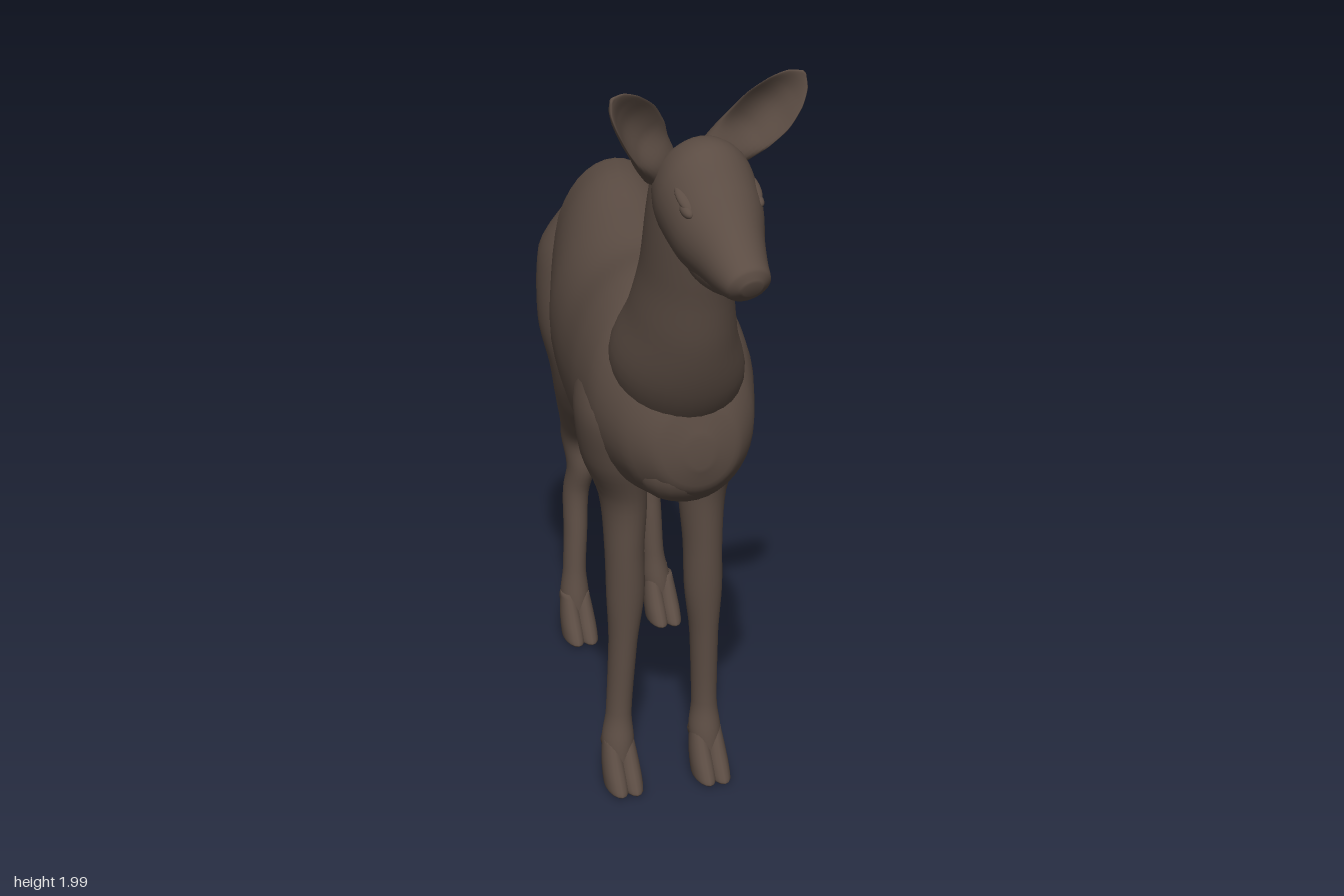
import * as THREE from 'three';

const V = (x, y, z) => new THREE.Vector3(x, y, z);
const coat = new THREE.MeshStandardMaterial({ color: 0x5b4c43 });
coat.name = 'brown coat';

// Smooth closed loft: rows are [x, y, z, halfWidth, halfDepth, cup]; side and up span every section
function loft(rows, side, up, radial = 28, steps = 5) {
  const centre = new THREE.CatmullRomCurve3(rows.map(r => V(r[0], r[1], r[2])));
  const size = new THREE.CatmullRomCurve3(rows.map(r => V(r[3], r[4], r[5] || 0)));
  const n = (rows.length - 1) * steps;
  const pos = [], idx = [];
  const s = side.clone().normalize(), u = up.clone().normalize();
  for (let i = 0; i <= n; i++) {
    const c = centre.getPoint(i / n), r = size.getPoint(i / n);
    for (let j = 0; j < radial; j++) {
      const t = j / radial * Math.PI * 2, k = Math.cos(t);
      const p = c.clone().addScaledVector(s, r.x * k)
        .addScaledVector(u, r.y * Math.sin(t) + r.z * (k * k - 0.4));
      pos.push(p.x, p.y, p.z);
    }
  }
  const first = centre.getPoint(0), last = centre.getPoint(1);
  pos.push(first.x, first.y, first.z, last.x, last.y, last.z);
  const flip = s.clone().cross(u).dot(last.clone().sub(first)) < 0;
  const tri = (a, b, c) => flip ? idx.push(a, c, b) : idx.push(a, b, c);
  const a0 = (n + 1) * radial;
  for (let j = 0; j < radial; j++) {
    const k = (j + 1) % radial;
    for (let i = 0; i < n; i++) {
      const a = i * radial + j, b = i * radial + k;
      tri(a, b, a + radial);
      tri(b, b + radial, a + radial);
    }
    tri(a0, k, j);
    tri(a0 + 1, n * radial + j, n * radial + k);
  }
  const g = new THREE.BufferGeometry();
  g.setAttribute('position', new THREE.Float32BufferAttribute(pos, 3));
  g.setIndex(idx);
  g.computeVertexNormals();
  return g;
}

export function createModel() {
  const model = new THREE.Group();
  model.name = 'deer';
  const add = (name, geometry, parent = model) => {
    const m = new THREE.Mesh(geometry, coat);
    m.name = name;
    parent.add(m);
  };
  const bump = (name, p, scale, tilt = 0) => {
    const g = new THREE.SphereGeometry(1, 20, 14);
    g.scale(...scale).rotateX(tilt).translate(...p);
    add(name, g);
  };

  // Torso, set at a slant across the z axis
  const bodySide = V(0.965, 0, 0.26);
  add('torso', loft([
    [0.225, 1.17, -0.765, 0.03, 0.05], [0.22, 1.175, -0.74, 0.08, 0.115],
    [0.2, 1.172, -0.66, 0.135, 0.188], [0.17, 1.16, -0.55, 0.172, 0.277],
    [0.112, 1.14, -0.4, 0.187, 0.307], [0.05, 1.122, -0.2, 0.216, 0.298],
    [-0.003, 1.107, 0, 0.224, 0.293], [-0.045, 1.115, 0.15, 0.22, 0.295],
    [-0.072, 1.11, 0.28, 0.205, 0.272], [-0.08, 1.06, 0.38, 0.165, 0.2],
    [-0.085, 1.03, 0.44, 0.105, 0.115], [-0.085, 1.02, 0.46, 0.03, 0.04],
  ], bodySide, V(0, 1, 0), 40));

  // Neck
  add('neck', loft([
    [-0.065, 1.06, 0.24, 0.12, 0.13], [-0.085, 1.22, 0.325, 0.16, 0.165],
    [-0.11, 1.36, 0.405, 0.125, 0.143], [-0.123, 1.5, 0.455, 0.106, 0.122],
    [-0.13, 1.64, 0.495, 0.106, 0.112], [-0.135, 1.76, 0.525, 0.1, 0.09],
    [-0.135, 1.82, 0.54, 0.04, 0.035],
  ], V(1, 0, 0.15), V(0, -0.4, 0.9), 32));

  // Head, from the back of the skull to the nose
  add('head', loft([
    [-0.132, 1.75, 0.44, 0.045, 0.05], [-0.133, 1.75, 0.49, 0.1, 0.118],
    [-0.135, 1.724, 0.56, 0.12, 0.14], [-0.138, 1.666, 0.645, 0.112, 0.122],
    [-0.145, 1.628, 0.72, 0.084, 0.092], [-0.152, 1.602, 0.785, 0.066, 0.065],
    [-0.155, 1.592, 0.825, 0.055, 0.048], [-0.155, 1.588, 0.843, 0.025, 0.02],
  ], V(1, 0, 0), V(0, 0.9, 0.4), 32));
  bump('nosePad', [-0.155, 1.612, 0.818], [0.045, 0.027, 0.028], 0.3);
  bump('jaw', [-0.142, 1.592, 0.68], [0.075, 0.062, 0.15], 0.02);
  for (const m of [-1, 1]) {
    bump('nostril', [-0.155 + m * 0.032, 1.61, 0.82], [0.017, 0.02, 0.02]);
    bump('eye', [-0.139 + m * 0.09, 1.728, 0.66], [0.014, 0.014, 0.026], 0.3);
    bump('brow', [-0.137 + m * 0.082, 1.752, 0.638], [0.024, 0.014, 0.05], 0.6);

    // Cupped ear, opening forward
    const along = [[0, 0.05, 0.045, 0], [0.2, 0.058, 0.036, 0.015], [0.4, 0.065, 0.02, 0.045],
      [0.6, 0.066, 0.012, 0.05], [0.8, 0.053, 0.01, 0.035], [0.93, 0.032, 0.008, 0.012],
      [1, 0.006, 0.004, 0]];
    add(m > 0 ? 'leftEar' : 'rightEar', loft(along.map(([t, a, b, c]) =>
      [-0.135 + m * (0.07 + 0.175 * t), 1.775 + 0.215 * t, 0.475 + 0.11 * t, a, b, c]),
    V(-0.62 * m, 0.64, -0.3), V(-0.49 * m, -0.07, 0.87)));
  }

  // Tail, running on from the slope of the rump
  add('tail', loft([
    [0.195, 1.27, -0.6, 0.06, 0.06], [0.22, 1.255, -0.69, 0.065, 0.062],
    [0.245, 1.215, -0.765, 0.056, 0.05], [0.26, 1.165, -0.805, 0.05, 0.04],
    [0.267, 1.115, -0.82, 0.038, 0.028], [0.268, 1.09, -0.822, 0.014, 0.012],
  ], bodySide, V(0.15, 0.65, -0.62), 20));

  // Legs: rows are [y, z, halfWidth, halfDepth] with one x per row; claws finish the foot
  const legSide = V(0.98, 0, 0.17).normalize(), legFront = V(-0.17, 0, 0.98).normalize();
  function leg(name, rows, xs, dz, foot) {
    const g = new THREE.Group();
    g.name = name;
    model.add(g);
    add('limb', loft(rows.map(([y, z, a, b], i) => [xs[i], y, z + dz, a, b]),
      legSide, legFront, 24), g);
    const at = (s, y, f) => foot.clone().addScaledVector(legSide, s)
      .addScaledVector(legFront, f).setY(y);
    for (const m of [-1, 1]) {
      add('hoof', loft([[0.13, 0, 0.02, 0.03], [0.075, 0.02, 0.027, 0.048],
        [0.035, 0.042, 0.029, 0.06], [0.012, 0.054, 0.028, 0.065], [0.004, 0.054, 0.02, 0.055]]
        .map(([y, f, a, b]) => [...at(m * 0.02, y, f).toArray(), a, b]), legSide, legFront, 16), g);
      add('dewclaw', loft([[0.15, -0.015, 0.012, 0.015], [0.1, -0.042, 0.014, 0.017],
        [0.07, -0.054, 0.005, 0.006]].map(([y, f, a, b]) =>
        [...at(m * 0.02, y, f).toArray(), a, b]), legSide, legFront, 12), g);
    }
  }

  const fore = [
    [1.27, 0.17, 0.02, 0.03], [1.18, 0.18, 0.055, 0.09], [1.05, 0.2, 0.078, 0.12],
    [0.92, 0.19, 0.076, 0.11], [0.8, 0.185, 0.06, 0.082], [0.65, 0.2, 0.05, 0.06],
    [0.53, 0.205, 0.049, 0.052], [0.4, 0.205, 0.037, 0.045], [0.2, 0.205, 0.033, 0.04],
    [0.12, 0.215, 0.042, 0.047], [0.05, 0.235, 0.03, 0.035],
  ];
  leg('frontLeftLeg', fore,
    [0.08, 0.09, 0.088, 0.075, 0.055, 0.05, 0.05, 0.053, 0.055, 0.052, 0.05],
    0.01, V(0.053, 0, 0.225));
  leg('frontRightLeg', fore,
    [-0.18, -0.195, -0.2, -0.18, -0.147, -0.15, -0.15, -0.157, -0.17, -0.178, -0.185],
    -0.035, V(-0.178, 0, 0.18));

  const hind = [
    [1.33, -0.57, 0.03, 0.05], [1.18, -0.59, 0.083, 0.13], [1.0, -0.555, 0.086, 0.148],
    [0.87, -0.53, 0.07, 0.115], [0.75, -0.575, 0.055, 0.08], [0.65, -0.645, 0.047, 0.078],
    [0.58, -0.685, 0.045, 0.066], [0.5, -0.67, 0.04, 0.052], [0.42, -0.685, 0.036, 0.048],
    [0.3, -0.665, 0.033, 0.042], [0.2, -0.65, 0.032, 0.04], [0.12, -0.64, 0.04, 0.047],
    [0.05, -0.62, 0.03, 0.035],
  ];
  leg('hindLeftLeg', hind,
    [0.25, 0.28, 0.282, 0.285, 0.295, 0.312, 0.322, 0.328, 0.332, 0.332, 0.332, 0.338, 0.345],
    0, V(0.343, 0, -0.635));
  leg('hindRightLeg', hind,
    [0.08, 0.055, 0.038, 0.042, 0.062, 0.097, 0.115, 0.118, 0.108, 0.096, 0.085, 0.08, 0.075],
    0, V(0.078, 0, -0.635));

  // Breastbone between the front legs
  bump('breastbone', [-0.08, 0.95, 0.34], [0.12, 0.095, 0.1]);
  return model;
}
